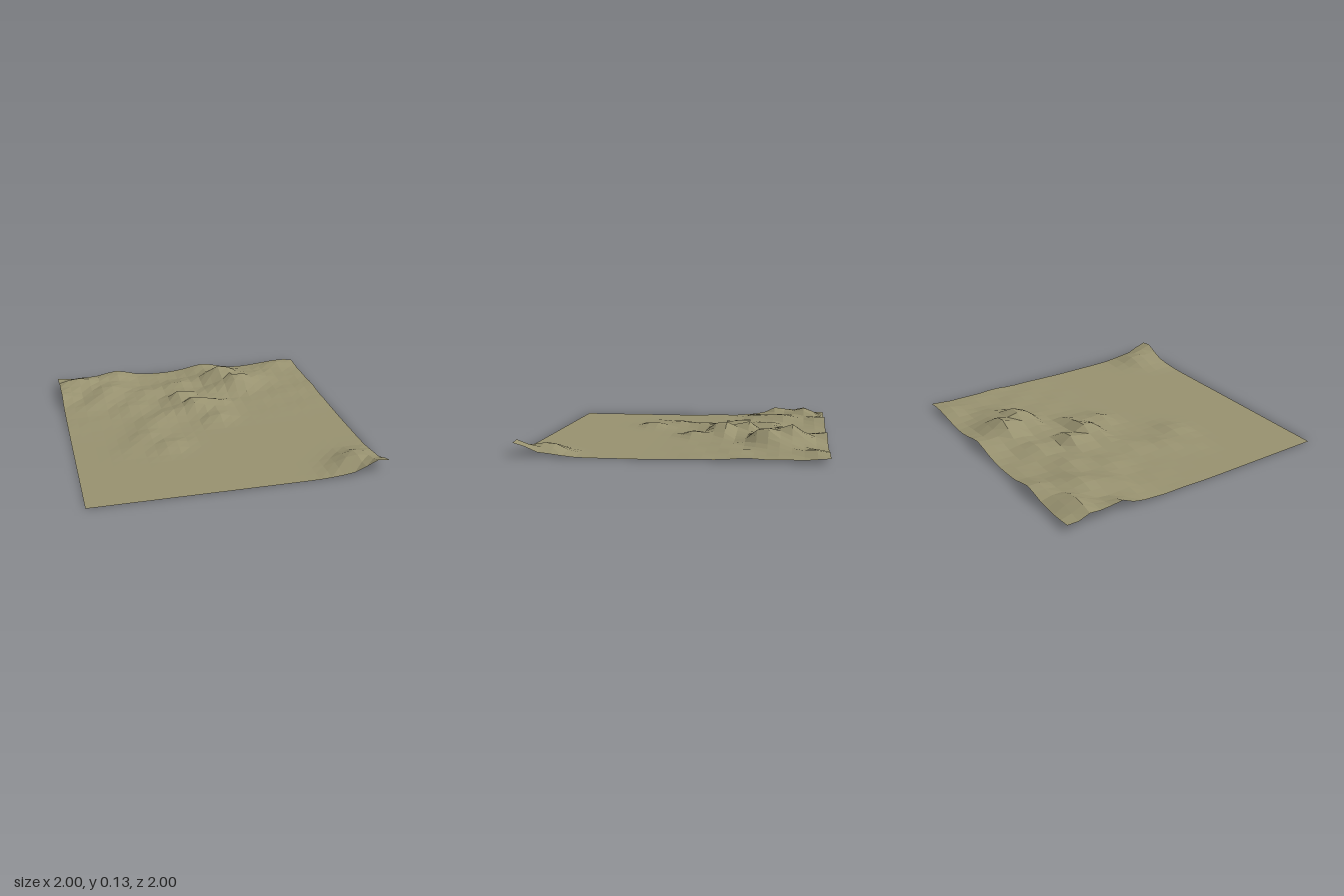
import * as THREE from 'three';

// Hills: [x, z, height, radius]
const HILLS = [
  // right-hand ridge
  [0.30, -0.75, 0.115, 0.13], [0.40, -0.57, 0.10, 0.11], [0.20, -0.98, 0.05, 0.12],
  [0.58, -0.72, 0.035, 0.13], [0.85, -0.93, 0.035, 0.12], [0.18, -0.50, 0.03, 0.10],
  // middle ridge
  [-0.02, -0.25, 0.095, 0.10], [-0.10, -0.42, 0.08, 0.09], [0.11, -0.06, 0.045, 0.10],
  [0.16, -0.27, 0.04, 0.09], [-0.05, -0.68, 0.035, 0.12], [-0.22, -0.20, 0.03, 0.10],
  // rear left hills
  [-0.80, -0.86, 0.075, 0.12], [-0.98, -0.82, 0.055, 0.10], [-1.00, -0.62, 0.06, 0.11],
  [-0.52, -0.97, 0.06, 0.12], [-0.62, -0.68, 0.06, 0.13], [-0.75, -0.48, 0.03, 0.12],
  [-0.34, -0.58, 0.025, 0.12], [-0.48, -0.38, 0.025, 0.12], [-1.00, -1.00, 0.02, 0.08],
  // low front left mounds
  [-0.33, 0.31, 0.032, 0.11], [-0.46, 0.12, 0.028, 0.11], [-0.38, -0.08, 0.025, 0.11],
  [-0.58, 0.28, 0.012, 0.10],
  // front corner hill
  [0.95, 1.00, 0.098, 0.13], [0.84, 0.80, 0.065, 0.13], [0.70, 0.92, 0.015, 0.10],
];

// Ground height: gentle rear swell plus hills stretched along a diagonal
function heightAt(x, z) {
  const back = THREE.MathUtils.smoothstep(-z, -0.2, 0.6);
  let h = 0.018 * back;
  h += 0.006 * back * Math.sin(13 * x + 5 * z) * Math.sin(17 * z - 6 * x);
  for (const [hx, hz, height, r] of HILLS) {
    const dx = x - hx, dz = z - hz;
    const along = (0.92 * dx - 0.39 * dz) / (r * 1.15);
    const across = (0.39 * dx + 0.92 * dz) / (r * 0.85);
    h += height * Math.exp(-along * along - across * across);
  }
  return Math.max(0, h);
}

export function createModel() {
  const group = new THREE.Group();
  group.name = 'landscape';

  const earth = new THREE.MeshStandardMaterial({
    color: 0x989270, flatShading: true, side: THREE.DoubleSide,
  });
  earth.name = 'dry earth';

  // Faceted sheet of ground
  const geometry = new THREE.PlaneGeometry(2, 2, 25, 25).rotateX(-Math.PI / 2);
  const p = geometry.attributes.position;
  for (let i = 0; i < p.count; i++) p.setY(i, heightAt(p.getX(i), p.getZ(i)));
  geometry.computeBoundingBox();
  geometry.translate(0, -geometry.boundingBox.min.y, 0);
  geometry.computeVertexNormals();

  const terrain = new THREE.Mesh(geometry, earth);
  terrain.name = 'terrain';
  group.add(terrain);
  return group;
}
